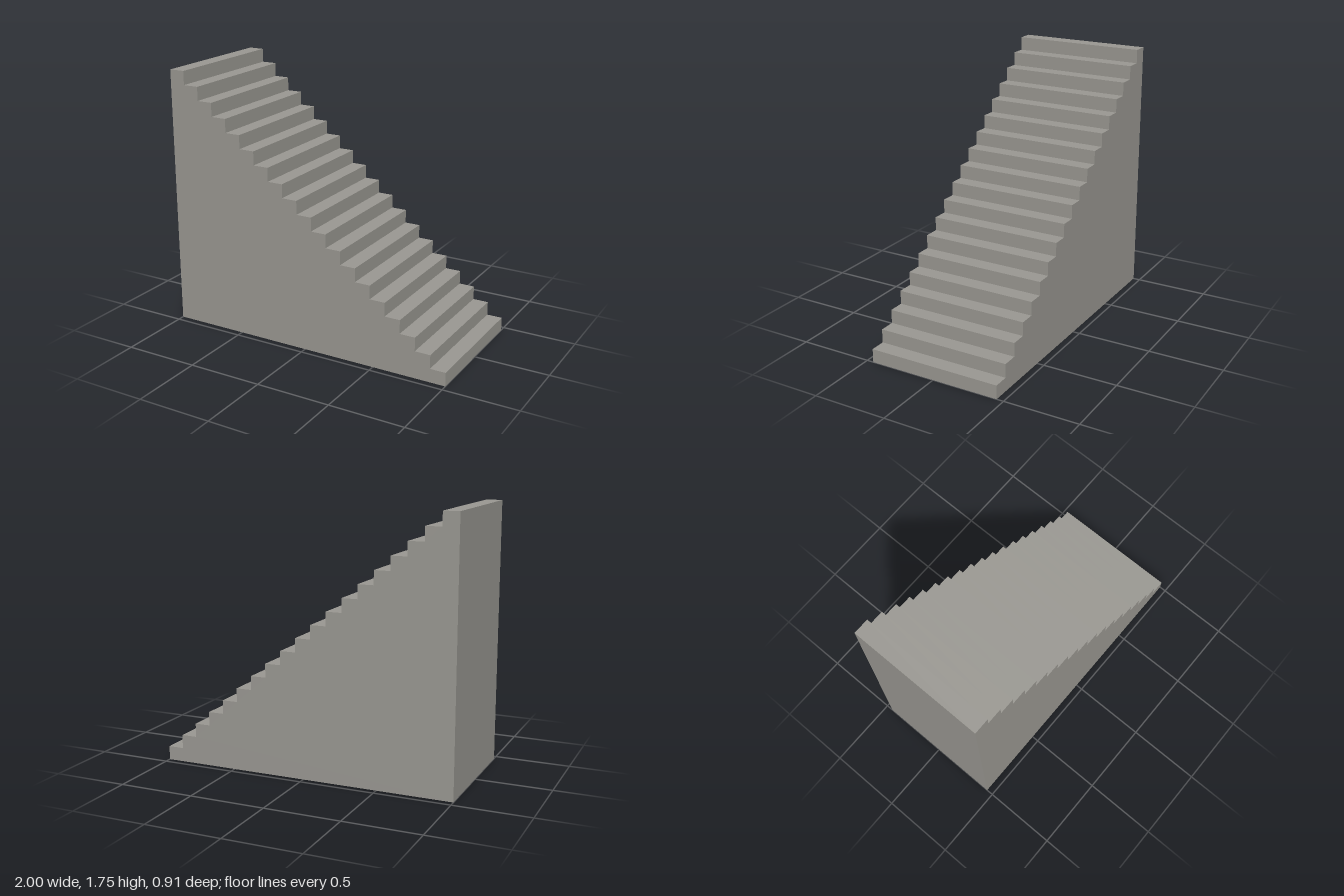
import * as THREE from 'three';

const STEPS = 19;
const LENGTH = 2, HEIGHT = 1.745, WIDTH = 0.906;
const RUN = LENGTH / STEPS, RISE = HEIGHT / STEPS;

export function createModel() {
  const group = new THREE.Group();
  group.name = 'staircase';
  const stone = new THREE.MeshStandardMaterial({ color: 0x9b9993, side: THREE.DoubleSide });
  stone.name = 'grey stone';

  const add = (name, geometry, x, y, z, rx = 0, ry = 0) => {
    const mesh = new THREE.Mesh(geometry, stone);
    mesh.name = name;
    mesh.position.set(x, y, z);
    mesh.rotation.set(rx, ry, 0);
    group.add(mesh);
  };

  // Stepped side walls; the back one is turned around, so its outline is mirrored
  const sideWall = (dir) => {
    const shape = new THREE.Shape();
    shape.moveTo(-dir * LENGTH / 2, 0);
    shape.lineTo(dir * LENGTH / 2, 0);
    for (let i = 0; i < STEPS; i++) {
      const x = LENGTH / 2 - i * RUN, y = (i + 1) * RISE;
      shape.lineTo(dir * x, y);
      shape.lineTo(dir * (x - RUN), y);
    }
    shape.closePath();
    return new THREE.ShapeGeometry(shape);
  };
  add('frontSideWall', sideWall(1), 0, 0, WIDTH / 2);
  add('backSideWall', sideWall(-1), 0, 0, -WIDTH / 2, 0, Math.PI);

  // Treads and risers, from the bottom step up
  const tread = new THREE.PlaneGeometry(RUN, WIDTH);
  const riser = new THREE.PlaneGeometry(WIDTH, RISE);
  for (let i = 0; i < STEPS; i++) {
    const x = LENGTH / 2 - i * RUN;
    add('riser' + (i + 1), riser, x, (i + 0.5) * RISE, 0, 0, Math.PI / 2);
    add('tread' + (i + 1), tread, x - RUN / 2, (i + 1) * RISE, 0, -Math.PI / 2);
  }

  // Tall end wall; the underside stays open
  add('endWall', new THREE.PlaneGeometry(WIDTH, HEIGHT), -LENGTH / 2, HEIGHT / 2, 0, 0, -Math.PI / 2);

  return group;
}
